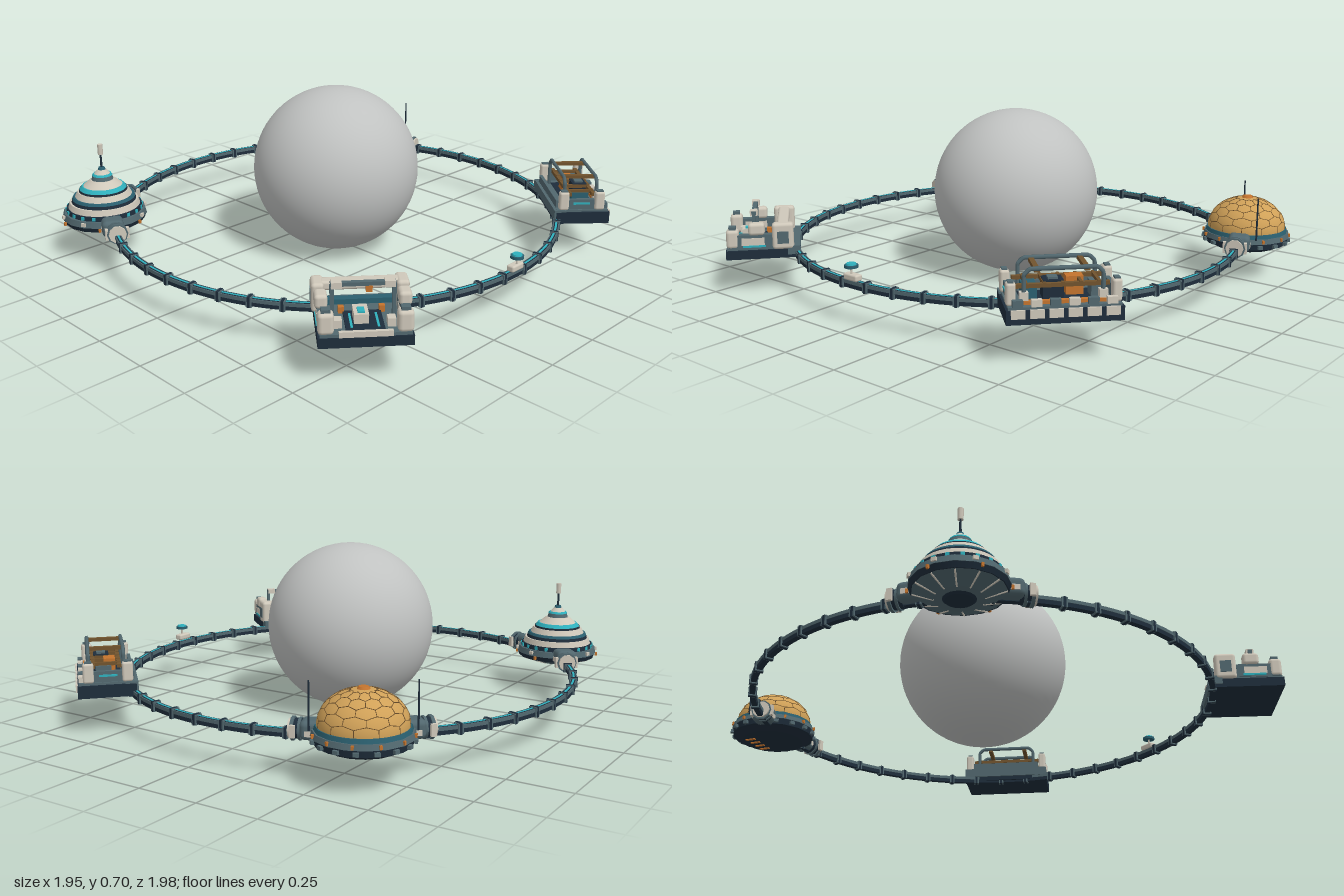
import * as THREE from 'three';
import { mergeGeometries } from 'three/addons/utils/BufferGeometryUtils.js';
import { RoundedBoxGeometry } from 'three/addons/geometries/RoundedBoxGeometry.js';

const mat = (name, color) => Object.assign(new THREE.MeshStandardMaterial({ color }), { name });
const M = {
  grey: mat('planet grey', 0xc0c2c1), cream: mat('hull cream', 0xcfc8ba),
  navy: mat('dark navy', 0x1e2d3b), slate: mat('slate', 0x52686f),
  teal: mat('deep teal', 0x2b6070), cyan: mat('light cyan', 0x2fb0bd),
  gold: mat('dome gold', 0xd0a158), orange: mat('copper orange', 0xc4742e),
  bronze: mat('bronze', 0x72542e),
};
const CX = -0.018, CZ = -0.037, R = 0.94, RING_Y = 0.155;

function add(parent, name, geo, m, x = 0, y = 0, z = 0) {
  const mesh = new THREE.Mesh(geo, m);
  mesh.name = name;
  mesh.position.set(x, y, z);
  parent.add(mesh);
  return mesh;
}
const box = (p, name, m, w, h, d, x, y, z) => add(p, name, new THREE.BoxGeometry(w, h, d), m, x, y, z);
const soft = (p, name, m, w, h, d, x, y, z) => add(p, name, new RoundedBoxGeometry(w, h, d, 2, Math.min(w, h, d) * 0.3), m, x, y, z);
// upright round part; tier takes bottom and top radius and height limits
const tier = (p, name, m, r0, r1, y0, y1, n = 32, x = 0, z = 0) =>
  add(p, name, new THREE.CylinderGeometry(r1, r0, y1 - y0, n), m, x, (y0 + y1) / 2, z);
const tube = (a, b, r) => new THREE.TubeGeometry(new THREE.LineCurve3(a, b), 1, r, 5);

// group on the orbit: local z points outward, local x runs along the ring
function onRing(root, name, angle, r = R) {
  const g = new THREE.Group();
  g.name = name;
  g.position.set(CX + Math.sin(angle) * r, 0, CZ + Math.cos(angle) * r);
  g.rotation.y = angle;
  root.add(g);
  return g;
}

// flat ring with a rectangular section
function band(root, name, m, r0, r1, y0, y1) {
  const s = new THREE.Shape().absarc(0, 0, r1, 0, Math.PI * 2);
  s.holes.push(new THREE.Path().absarc(0, 0, r0, 0, Math.PI * 2, true));
  const geo = new THREE.ExtrudeGeometry(s, { depth: y1 - y0, bevelEnabled: false, curveSegments: 96 });
  return add(root, name, geo.rotateX(-Math.PI / 2), m, CX, y0, CZ);
}

function buildRing(root) {
  band(root, 'ringKeel', M.navy, R - 0.011, R + 0.011, 0.14, 0.157);
  band(root, 'ringDeck', M.slate, R - 0.013, R + 0.013, 0.156, 0.169);
  for (const s of [-1, 1]) band(root, 'ringGroove', M.navy, R + s * 0.0065 - 0.002, R + s * 0.0065 + 0.002, 0.168, 0.17);
  band(root, 'ringLight', M.cyan, R - 0.004, R + 0.004, 0.169, 0.171);
  const n = 48;
  for (let i = 0; i < n; i++) {
    const g = onRing(root, 'ringCollar', (i + 0.5) / n * Math.PI * 2);
    box(g, 'collar', M.slate, 0.022, 0.038, 0.032, 0, RING_Y, 0);
    box(g, 'collarBand', M.navy, 0.01, 0.041, 0.034, 0, RING_Y, 0);
  }
}

// docking block, port and flange on both sides of a round station
function docks(root, angle) {
  for (const s of [-1, 1]) {
    const block = onRing(root, 'dockBlock', angle + s * 0.178);
    soft(block, 'dockHousing', M.slate, 0.09, 0.07, 0.088, 0, 0.178, 0.012);
    box(block, 'dockStripe', M.cream, 0.05, 0.02, 0.092, 0, 0.17, 0.012);
    const port = onRing(root, 'dockPort', angle + s * 0.234);
    [[0, 0.036, 0.05, M.navy], [-0.006 * s, 0.041, 0.01, M.slate], [0.02 * s, 0.043, 0.012, M.slate], [0.03 * s, 0.036, 0.01, M.cream]].forEach(([x, r, len, m]) => {
      add(port, 'portCollar', new THREE.CylinderGeometry(r, r, len, 10), m, x, 0.172, 0).rotation.z = Math.PI / 2;
    });
    for (const z of [-1, 1]) box(port, 'portClamp', M.cream, 0.02, 0.045, 0.012, 0.015 * s, 0.172, 0.042 * z);
  }
}

function rimLamps(g, r, y, m, n, size, h = 0.014) {
  for (let i = 0; i < n; i++) {
    const a = (i + 0.5) / n * Math.PI * 2;
    box(g, 'rimLamp', m, size, h, size, Math.sin(a) * r, y, Math.cos(a) * r).rotation.y = a;
  }
}

function steppedStation(root, angle) {
  const g = onRing(root, 'steppedStation', angle, 0.988);
  [
    ['keelHub', M.navy, 0.05, 0.06, 0.118, 0.126, 16],
    ['underBowl', M.slate, 0.09, 0.162, 0.125, 0.15, 16], ['hullRim', M.navy, 0.166, 0.174, 0.15, 0.17, 16],
    ['rimBand', M.slate, 0.176, 0.17, 0.17, 0.195, 16], ['windowBand', M.navy, 0.158, 0.156, 0.195, 0.213],
    ['lowerTier', M.cream, 0.15, 0.142, 0.21, 0.236], ['lowerGap', M.navy, 0.134, 0.13, 0.236, 0.25],
    ['tealTier', M.teal, 0.131, 0.125, 0.249, 0.259],
    ['middleTier', M.cream, 0.118, 0.106, 0.259, 0.281], ['middleGap', M.navy, 0.101, 0.099, 0.281, 0.289],
    ['lightRing', M.cyan, 0.098, 0.086, 0.288, 0.303],
    ['upperTier', M.cream, 0.082, 0.05, 0.302, 0.328], ['neck', M.slate, 0.045, 0.04, 0.328, 0.345],
    ['crown', M.cyan, 0.042, 0.037, 0.345, 0.353], ['cap', M.cream, 0.033, 0.018, 0.353, 0.37],
    ['capLight', M.teal, 0.016, 0.012, 0.37, 0.38],
    ['mast', M.navy, 0.005, 0.004, 0.375, 0.44, 8], ['mastHead', M.cream, 0.011, 0.011, 0.435, 0.48, 8],
  ].forEach(([name, m, r0, r1, y0, y1, n]) => tier(g, name, m, r0, r1, y0, y1, n));
  for (let i = 0; i < 12; i++) { // keel ribs
    const a = i / 12 * Math.PI * 2, at = (r, y) => new THREE.Vector3(Math.sin(a) * r, y, Math.cos(a) * r);
    add(g, 'keelRib', tube(at(0.085, 0.125), at(0.16, 0.149), 0.0035), M.cream);
  }
  rimLamps(g, 0.171, 0.184, M.cream, 8, 0.018);
  rimLamps(g, 0.153, 0.204, M.cyan, 20, 0.014);
  rimLamps(g, 0.177, 0.163, M.orange, 6, 0.009);
  docks(root, angle);
}

// honeycomb struts laid over the dome
function honeycomb(rad, squash, base) {
  const n = 12, rows = 5, parts = [];
  const at = (polar, az) => new THREE.Vector3(Math.sin(polar) * Math.sin(az) * rad,
    base + Math.cos(polar) * squash, Math.sin(polar) * Math.cos(az) * rad);
  const polar = (row, up) => 0.3 + row * 0.255 + (up ? -0.04 : 0.04);
  for (let row = 0; row < rows; row++) for (let i = 0; i < 2 * n; i++) {
    const az = i * Math.PI / n, up = (i + row) % 2 === 0;
    const here = at(polar(row, up), az);
    parts.push(tube(here, at(polar(row, !up), az + Math.PI / n), 0.0013));
    if (!up) parts.push(tube(here, at(row < rows - 1 ? polar(row + 1, true) : Math.PI / 2, az), 0.0013));
  }
  return mergeGeometries(parts);
}

function goldenDome(root, angle) {
  const g = onRing(root, 'domeStation', angle, 0.988);
  [
    ['underBowl', M.navy, 0.13, 0.165, 0.125, 0.145], ['hullRim', M.navy, 0.174, 0.178, 0.145, 0.17],
    ['rimBand', M.slate, 0.182, 0.176, 0.17, 0.19], ['domeSeat', M.teal, 0.171, 0.167, 0.19, 0.206],
  ].forEach(([name, m, r0, r1, y0, y1]) => tier(g, name, m, r0, r1, y0, y1, 16));
  const dome = new THREE.SphereGeometry(1, 40, 14, 0, Math.PI * 2, 0, Math.PI / 2);
  add(g, 'dome', dome.scale(0.161, 0.128, 0.161), M.gold, 0, 0.205, 0);
  add(g, 'domeStruts', honeycomb(0.162, 0.129, 0.205), M.bronze);
  tier(g, 'domeCap', M.orange, 0.026, 0.018, 0.328, 0.34, 12);
  rimLamps(g, 0.18, 0.18, M.orange, 12, 0.009);
  rimLamps(g, 0.175, 0.157, M.slate, 16, 0.02);
  for (const x of [-0.06, -0.02, 0.02, 0.06]) box(g, 'keelLamp', M.orange, 0.012, 0.006, 0.045, x, 0.124, 0.075);
  for (const s of [-1, 1]) tier(g, 'sideAntenna', M.navy, 0.004, 0.003, 0.19, 0.365, 6, s * 0.185, 0.015);
  docks(root, angle);
}

// arch of bent pipe in the local xy plane
function arch(g, name, m, half, y0, y1, z, r) {
  const c = half - 0.02;
  const pts = [[-half, y0], [-half, y1 - 0.02], [-c, y1], [c, y1], [half, y1 - 0.02], [half, y0]];
  const path = new THREE.CurvePath();
  for (let i = 1; i < pts.length; i++) path.add(new THREE.LineCurve3(
    new THREE.Vector3(...pts[i - 1], 0), new THREE.Vector3(...pts[i], 0)));
  add(g, name, new THREE.TubeGeometry(path, 50, r, 6), m, 0, 0, z);
}

function factory(root) {
  const g = onRing(root, 'factoryModule', 0.825, 1.03);
  box(g, 'baseSlab', M.navy, 0.4, 0.05, 0.225, 0, 0.175, 0);
  box(g, 'deck', M.slate, 0.385, 0.01, 0.215, 0, 0.204, 0);
  box(g, 'workFloor', M.navy, 0.28, 0.004, 0.12, 0, 0.21, 0);
  box(g, 'ringSaddle', M.slate, 0.4, 0.04, 0.05, 0, 0.188, -0.095);
  box(g, 'innerWall', M.slate, 0.32, 0.035, 0.014, 0, 0.222, -0.1);
  for (let i = 0; i < 6; i++) {
    const x = (i - 2.5) * 0.064;
    box(g, 'outerPanel', M.cream, 0.048, 0.03, 0.008, x, 0.187, 0.115);
    box(g, 'edgeLocker', i % 2 ? M.cream : M.slate, 0.036, 0.024, 0.02, x, 0.22, 0.098);
  }
  for (const s of [-1, 1]) {
    for (const z of [-0.08, 0.07]) {
      soft(g, 'cornerTower', M.cream, 0.034, 0.08, 0.042, s * 0.18, 0.247, z);
      box(g, 'towerCap', M.slate, 0.02, 0.006, 0.028, s * 0.18, 0.289, z);
    }
    box(g, 'endWall', M.slate, 0.016, 0.045, 0.11, s * 0.178, 0.23, -0.005);
    box(g, 'endLight', M.cyan, 0.006, 0.008, 0.07, s * 0.187, 0.235, -0.005);
    box(g, 'craneRail', M.bronze, 0.32, 0.014, 0.016, 0, 0.265, s * 0.05);
    arch(g, 'gantryArch', M.slate, 0.135, 0.2, 0.328, s * 0.068, 0.008);
    box(g, 'archFoot', M.cream, 0.03, 0.04, 0.026, s * 0.135, 0.23, 0.068);
  }
  for (let i = -2; i <= 2; i++) box(g, 'crossBeam', M.bronze, 0.011, 0.014, 0.115, i * 0.062, 0.268, 0);
  for (const x of [0.08, -0.09]) box(g, 'gantryBridge', M.bronze, 0.018, 0.014, 0.14, x, 0.322, 0);
  box(g, 'furnace', M.orange, 0.06, 0.065, 0.045, 0.05, 0.245, -0.015);
  box(g, 'press', M.navy, 0.07, 0.07, 0.06, -0.03, 0.243, 0.015);
  box(g, 'pressPlate', M.slate, 0.035, 0.008, 0.035, -0.03, 0.281, 0.015);
  box(g, 'conveyor', M.orange, 0.3, 0.012, 0.018, 0, 0.216, 0.078);
  box(g, 'tank', M.teal, 0.05, 0.055, 0.07, -0.11, 0.235, 0);
  box(g, 'tank', M.slate, 0.04, 0.055, 0.06, 0.12, 0.235, 0.01);
}

function harbour(root) {
  const g = onRing(root, 'harbourModule', -0.7, 1.068);
  box(g, 'baseSlab', M.navy, 0.32, 0.036, 0.28, 0, 0.162, 0.003);
  box(g, 'deck', M.slate, 0.305, 0.012, 0.265, 0, 0.185, 0.006);
  box(g, 'ringSaddle', M.slate, 0.33, 0.035, 0.05, 0, 0.175, -0.125);
  soft(g, 'portalBeam', M.cream, 0.28, 0.034, 0.046, 0, 0.27, -0.083);
  box(g, 'portalLight', M.cyan, 0.2, 0.006, 0.012, 0, 0.251, -0.093);
  box(g, 'innerSill', M.teal, 0.25, 0.02, 0.03, 0, 0.2, -0.093);
  for (const s of [-1, 1]) {
    soft(g, 'portalPost', M.cream, 0.045, 0.108, 0.085, s * 0.147, 0.234, -0.083);
    box(g, 'postInset', M.slate, 0.006, 0.05, 0.045, s * 0.168, 0.23, -0.083);
    box(g, 'sideWall', M.slate, 0.032, 0.055, 0.17, s * 0.14, 0.215, 0.045);
    box(g, 'sidePanel', M.cream, 0.036, 0.03, 0.09, s * 0.14, 0.215, 0.035);
    soft(g, 'sidePod', M.cream, 0.045, 0.05, 0.065, s * 0.142, 0.265, 0.02);
    soft(g, 'cornerPod', M.cream, 0.055, 0.078, 0.05, s * 0.132, 0.226, 0.115);
    box(g, 'cornerCap', M.slate, 0.032, 0.012, 0.028, s * 0.132, 0.27, 0.115);
    box(g, 'sideLamp', M.cyan, 0.004, 0.008, 0.09, s * 0.159, 0.196, 0.03);
    box(g, 'cranePost', M.slate, 0.014, 0.13, 0.014, s * 0.105, 0.253, 0.03);
    box(g, 'craneHead', M.cream, 0.036, 0.022, 0.03, s * 0.09, 0.32, 0.03);
    box(g, 'padLamp', M.cyan, 0.008, 0.004, 0.1, s * 0.045, 0.2, 0.06);
    box(g, 'crate', M.orange, 0.02, 0.025, 0.02, s * 0.07, 0.202, -0.02);
    box(g, 'locker', M.cream, 0.028, 0.03, 0.035, s * 0.09, 0.205, 0.08);
  }
  box(g, 'craneBeam', M.slate, 0.22, 0.014, 0.018, 0, 0.321, 0.03);
  box(g, 'craneTrolley', M.orange, 0.022, 0.022, 0.022, 0.02, 0.303, 0.03);
  box(g, 'landingPad', M.navy, 0.13, 0.01, 0.15, 0, 0.194, 0.06);
  box(g, 'shuttle', M.cream, 0.05, 0.035, 0.08, -0.01, 0.215, 0.045);
  box(g, 'shuttleRoof', M.cyan, 0.024, 0.006, 0.035, -0.01, 0.235, 0.055);
  box(g, 'outerSill', M.cream, 0.18, 0.02, 0.014, 0, 0.19, 0.136);
}

export function createModel() {
  const root = new THREE.Group();
  root.name = 'orbitalRing';
  add(root, 'planet', new THREE.SphereGeometry(0.35, 64, 40), M.grey, CX, 0.35, CZ);
  buildRing(root);
  steppedStation(root, Math.atan2(-0.757, -0.637));
  goldenDome(root, Math.atan2(0.812, -0.568));
  factory(root);
  harbour(root);
  // beacon at the front of the ring
  const b = onRing(root, 'beacon', 0, R + 0.016);
  soft(b, 'beaconBase', M.cream, 0.07, 0.026, 0.034, 0, 0.187, -0.006);
  tier(b, 'beaconStem', M.cream, 0.004, 0.004, 0.195, 0.225, 8);
  tier(b, 'beaconLamp', M.teal, 0.026, 0.026, 0.224, 0.235, 16);
  tier(b, 'beaconTop', M.cyan, 0.02, 0.018, 0.235, 0.241, 16);
  return root;
}
